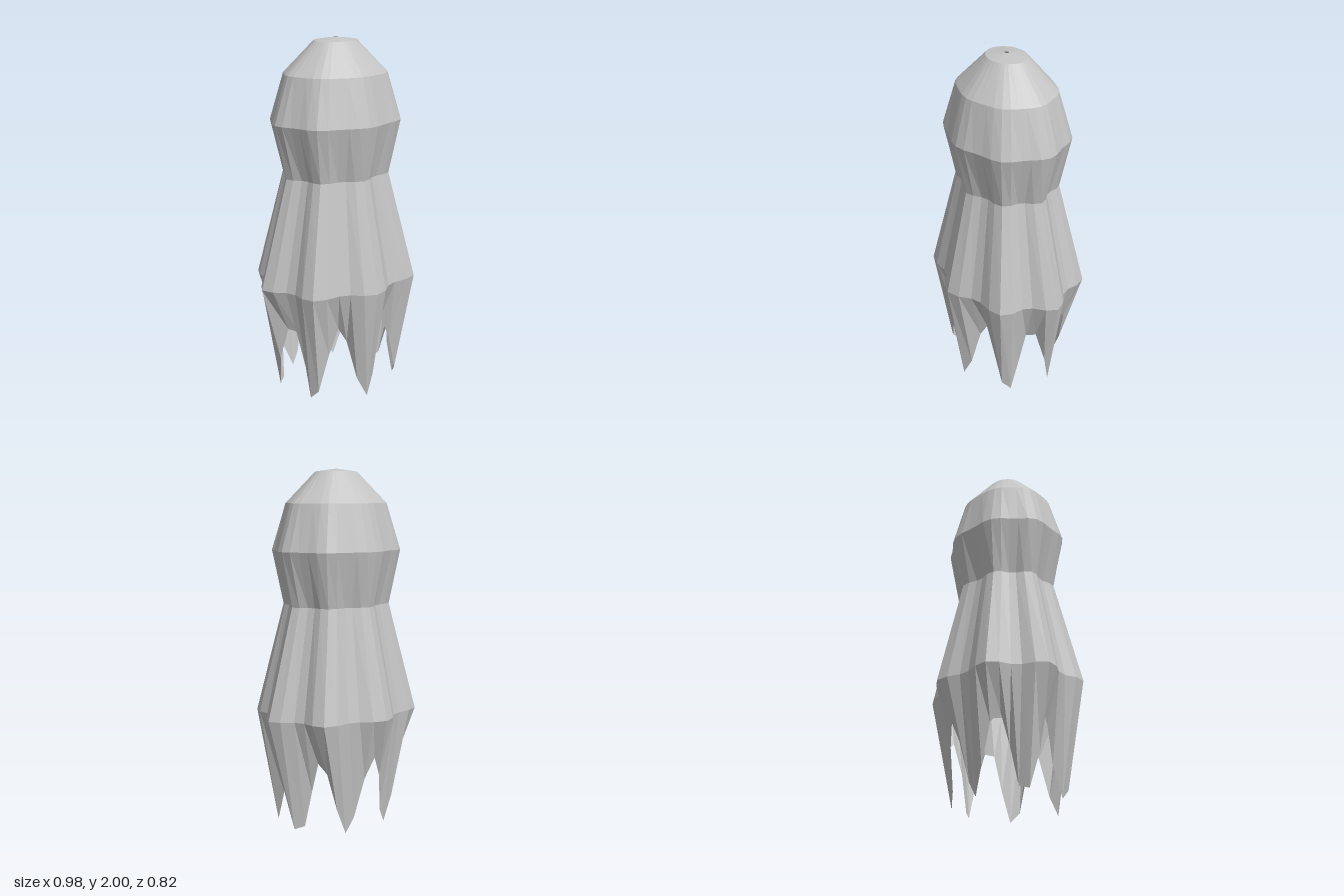
import * as THREE from 'three';

const SIDES = 40;    // facets around the cloth
const FOLDS = 8;     // vertical folds
const TATTERS = 7;   // ragged strips along the hem
const DEPTH = 0.838; // front-to-back squash

// One closed ring of cloth: peak radius, fold depth, height (number or function of angle)
function ring(radius, fold, height) {
  const points = [];
  for (let i = 0; i < SIDES; i++) {
    const a = (i / SIDES) * Math.PI * 2;
    const r = radius - fold + fold * Math.cos(FOLDS * a);
    const y = typeof height === 'function' ? height(a) : height;
    points.push([r * Math.sin(a), y, r * Math.cos(a) * DEPTH]);
  }
  return points;
}

// Faceted band of cloth between an upper and a lower ring
function band(name, upper, lower, material) {
  const positions = [];
  for (let i = 0; i < SIDES; i++) {
    const j = (i + 1) % SIDES;
    const [a, b, c, d] = [upper[i], lower[i], lower[j], upper[j]];
    positions.push(...a, ...b, ...c, ...a, ...c, ...d);
  }
  const geometry = new THREE.BufferGeometry();
  geometry.setAttribute('position', new THREE.Float32BufferAttribute(positions, 3));
  geometry.computeVertexNormals();
  const mesh = new THREE.Mesh(geometry, material);
  mesh.name = name;
  return mesh;
}

export function createModel() {
  const group = new THREE.Group();
  group.name = 'tatteredShroud';
  const cloth = new THREE.MeshStandardMaterial({
    name: 'grey cloth', color: 0xc4c4c4, side: THREE.DoubleSide, flatShading: true,
  });

  // Folds deepen steadily from the crown down to the hem
  const profile = [[0.012, 2], [0.124, 1.985], [0.302, 1.815], [0.387, 1.56], [0.32, 1.26], [0.489, 0.655]];
  const rings = profile.map(([r, y]) => ring(r, 0.0285 * (2 - y), y));

  // Ragged lower edge: long strips with notches between them, one strip centred at the front
  const ragged = (a) => 0.005 + 0.425 * Math.sin((TATTERS * a) / 2) ** 2;
  rings.push(ring(0.378, 0.03, ragged));

  const names = ['crownCap', 'crown', 'hood', 'neck', 'gown', 'tatteredHem'];
  names.forEach((name, i) => group.add(band(name, rings[i], rings[i + 1], cloth)));
  return group;
}
